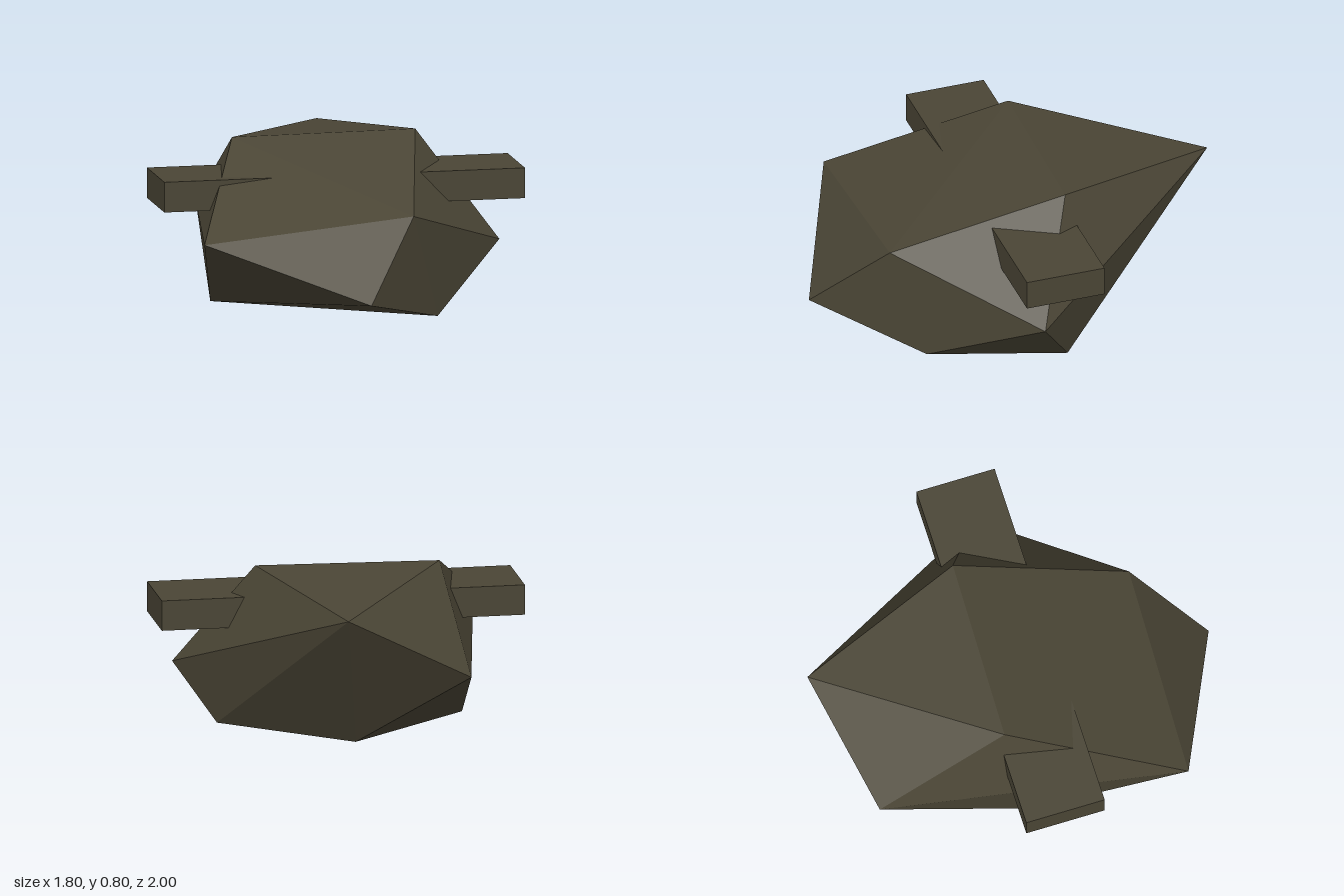
import * as THREE from 'three';
import { ConvexGeometry } from 'three/addons/geometries/ConvexGeometry.js';

export function createModel() {
  const model = new THREE.Group();
  model.name = 'boulder';
  const stone = new THREE.MeshStandardMaterial({ color: 0x4a4535, flatShading: true });
  stone.name = 'dark olive stone';

  // Faceted boulder: the hull of twelve irregular corners
  const corners = [
    // top ridge
    [-0.48, 0.79, -0.18], [0.43, 0.8, -0.16],
    // back
    [-0.52, 0.36, -0.83], [0.12, 0.71, -1],
    // front
    [-0.8, 0.42, 0.66], [0.24, 0.525, 0.68], [-0.04, 0.15, 1],
    // side point
    [0.8, 0.28, 0.07],
    // base
    [0.39, 0, 0.54], [0.61, 0.005, -0.11], [0.01, 0, -0.59], [-0.61, 0, -0.08],
  ].map((p) => new THREE.Vector3(...p));
  const rock = new THREE.Mesh(new ConvexGeometry(corners), stone);
  rock.name = 'rock';
  model.add(rock);

  // Square-cut bar passing through the boulder from side to side
  const bar = new THREE.Mesh(new THREE.BoxGeometry(1.8, 0.15, 0.4), stone);
  bar.name = 'crossBar';
  bar.position.y = 0.577;
  model.add(bar);

  return model;
}
